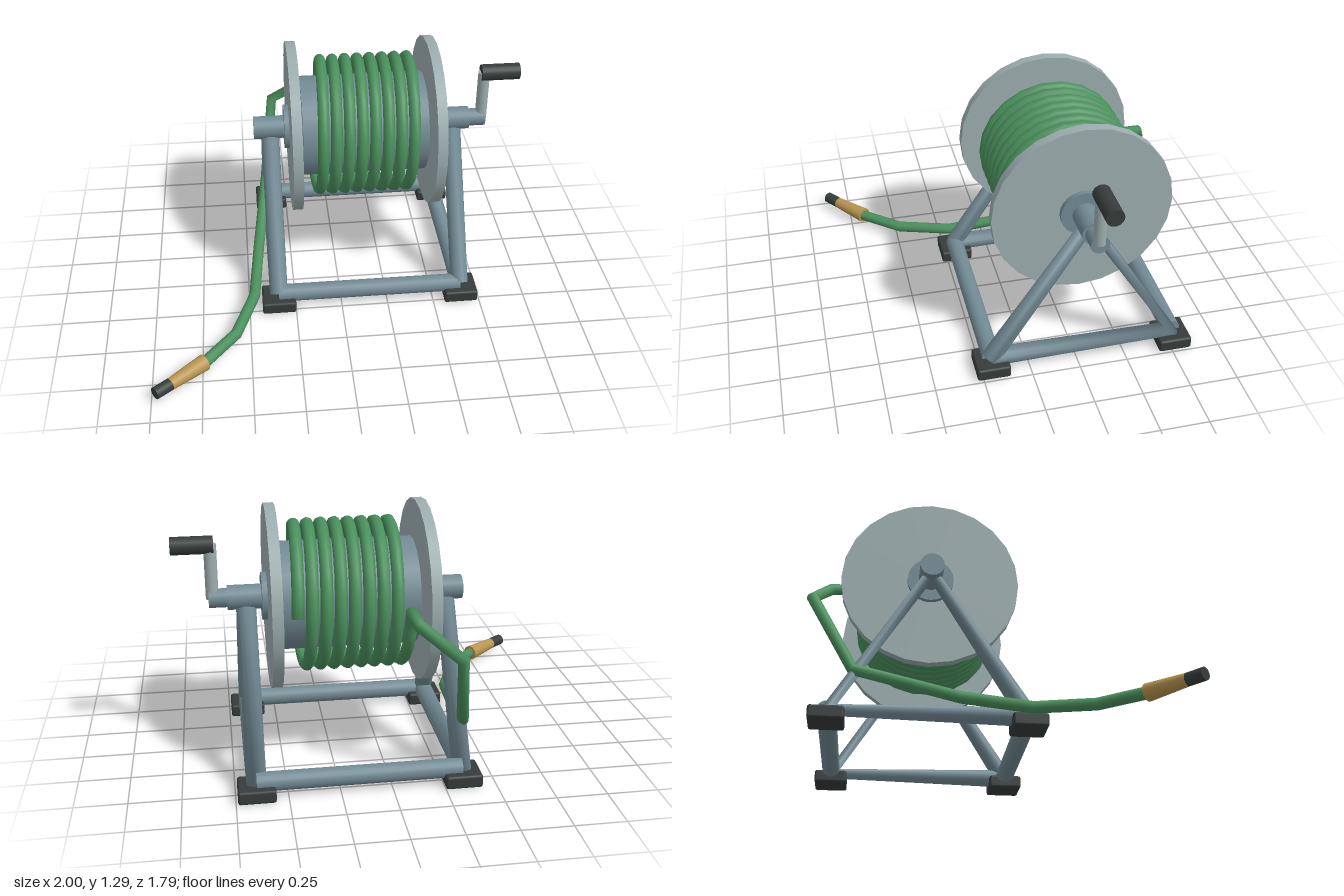
import * as THREE from 'three';
import { RoundedBoxGeometry } from 'three/addons/geometries/RoundedBoxGeometry.js';

const V = (x, y, z) => new THREE.Vector3(x, y, z);
const material = (name, color) => {
  const m = new THREE.MeshStandardMaterial({ color });
  m.name = name;
  return m;
};

// Round tube swept along a polyline; rings sit on the bisector plane of each corner
function sweep(points, radius, sides = 14) {
  const pos = [], index = [], n = points.length;
  let normal = null;
  for (let i = 0; i < n; i++) {
    const dir = V(0, 0, 0);
    if (i > 0) dir.add(points[i].clone().sub(points[i - 1]).normalize());
    if (i < n - 1) dir.add(points[i + 1].clone().sub(points[i]).normalize());
    dir.normalize();
    if (!normal) normal = Math.abs(dir.x) < 0.8 ? V(1, 0, 0) : V(0, 1, 0);
    normal.addScaledVector(dir, -normal.dot(dir)).normalize();
    const binormal = dir.clone().cross(normal);
    for (let j = 0; j < sides; j++) {
      const a = (j / sides) * Math.PI * 2;
      const p = points[i].clone()
        .addScaledVector(normal, Math.cos(a) * radius)
        .addScaledVector(binormal, Math.sin(a) * radius);
      pos.push(p.x, p.y, p.z);
      if (i < n - 1) {
        const A = i * sides + j, B = i * sides + (j + 1) % sides;
        index.push(A, B, A + sides, B, B + sides, A + sides);
      }
    }
  }
  // end caps
  for (let j = 1; j < sides - 1; j++) {
    const e = (n - 1) * sides;
    index.push(0, j + 1, j, e, e + j, e + j + 1);
  }
  const g = new THREE.BufferGeometry();
  g.setAttribute('position', new THREE.Float32BufferAttribute(pos, 3));
  g.setIndex(index);
  g.computeVertexNormals();
  return g;
}

export function createModel() {
  const group = new THREE.Group();
  const steel = material('blue grey steel', 0x728a94);
  const plate = material('pale steel', 0x9cadaf);
  const green = material('green hose', 0x4a8f5c);
  const brass = material('brass', 0xb8954f);
  const rubber = material('black rubber', 0x363c3b);

  const add = (name, geometry, mat) => {
    const mesh = new THREE.Mesh(geometry, mat);
    mesh.name = name;
    group.add(mesh);
    return mesh;
  };
  // Cylinder between two points, optionally tapered
  const rod = (name, a, b, r, mat, sides = 20, rEnd = r) => {
    const d = b.clone().sub(a);
    const mesh = add(name, new THREE.CylinderGeometry(rEnd, r, d.length(), sides), mat);
    mesh.position.copy(a).add(b).multiplyScalar(0.5);
    mesh.quaternion.setFromUnitVectors(V(0, 1, 0), d.normalize());
    return mesh;
  };

  const axleY = 0.84, axleZ = -0.286;
  const frontZ = 0.195, backZ = -0.767, railY = 0.08;
  const leftX = 0.65, rightX = -0.34;
  const alongX = (name, x0, x1, r, mat, sides) =>
    rod(name, V(x0, axleY, axleZ), V(x1, axleY, axleZ), r, mat, sides);

  // Triangular side frames and feet
  for (const x of [rightX, leftX]) {
    const front = V(x, railY, frontZ);
    add('sideFrame', sweep([front, V(x, axleY, axleZ), V(x, railY, backZ), front.clone()], 0.048), steel);
    for (const z of [frontZ, backZ]) {
      add('foot', new RoundedBoxGeometry(0.18, 0.066, 0.172, 2, 0.012), rubber).position.set(x, 0.04, z);
    }
  }
  for (const z of [frontZ, backZ]) {
    rod('crossRail', V(rightX, railY, z), V(leftX, railY, z), 0.047, steel);
  }

  // Axle, drum, flanges and hubs
  alongX('axle', -0.428, 0.74, 0.061, steel);
  alongX('drum', -0.175, 0.485, 0.267, steel, 28);
  for (const [x, out] of [[-0.213, -1], [0.522, 1]]) {
    alongX('flange', x - 0.026, x + 0.026, 0.455, plate, 24);
    alongX('hub', x - 0.026 + out * 0.026, x + 0.026 + out * 0.026, 0.118, steel, 24);
  }

  // Crank
  alongX('crankShaft', 0.74, 0.83, 0.047, steel);
  rod('crankArm', V(0.812, axleY, axleZ), V(0.812, 1.115, axleZ), 0.031, plate);
  rod('crankHandle', V(0.795, 1.112, axleZ), V(1, 1.112, axleZ), 0.044, rubber);

  // Hose: loose tail followed by eight turns around the drum
  const path = [
    V(-0.74, 0.067, 0.68), V(-0.575, 0.067, 0.48), V(-0.47, 0.08, 0.2), V(-0.435, 0.13, -0.14),
    V(-0.367, 0.28, -0.655), V(-0.31, 0.68, -0.87), V(-0.12, 0.83, -0.79),
  ];
  const turns = 8, steps = 22, coilR = 0.349;
  for (let i = 0; i <= turns * steps; i++) {
    const a = (i / steps) * Math.PI * 2;
    path.push(V(-0.112 + 0.067 * i / steps, axleY - coilR * Math.sin(a), axleZ - coilR * Math.cos(a)));
  }
  add('hose', sweep(path, 0.03, 12), green);

  // Nozzle
  const tipStart = V(-0.905, 0.067, 0.812);
  rod('nozzleBody', V(-0.738, 0.067, 0.675), tipStart, 0.043, brass, 20, 0.031);
  rod('nozzleTip', tipStart, V(-0.978, 0.067, 0.868), 0.031, rubber);

  group.position.y = -0.007;
  return group;
}
